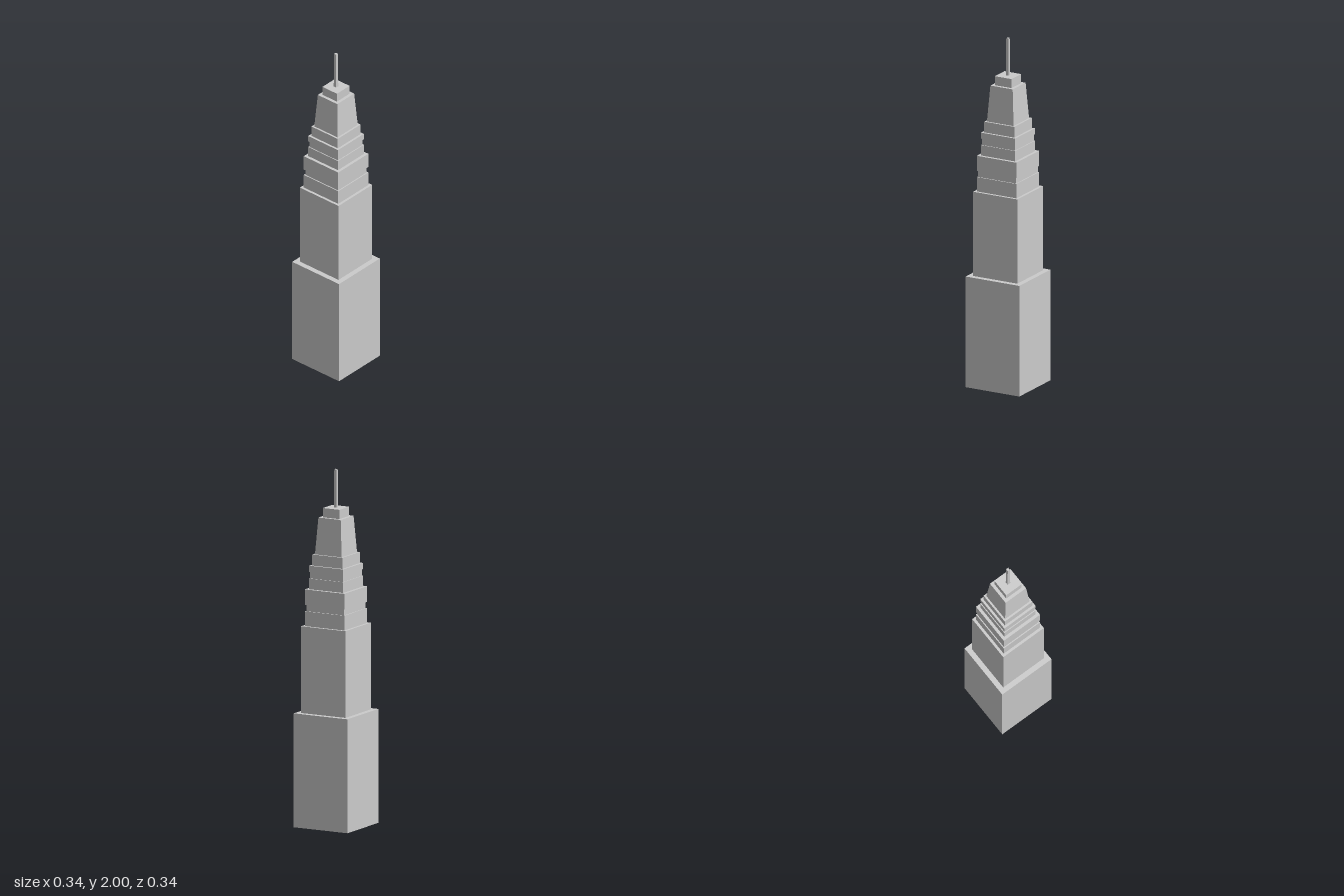
import * as THREE from 'three';

const material = new THREE.MeshStandardMaterial({ color: 0xcccccc, flatShading: true });

// Square block from y0 to y1, with half widths at the bottom and top
function block(name, y0, y1, bottom, top = bottom) {
  const geometry = new THREE.CylinderGeometry(top * Math.SQRT2, bottom * Math.SQRT2, y1 - y0, 4);
  geometry.rotateY(Math.PI / 4);
  geometry.translate(0, (y0 + y1) / 2, 0);
  const mesh = new THREE.Mesh(geometry, material);
  mesh.name = name;
  return mesh;
}

export function createModel() {
  const tower = new THREE.Group();
  tower.name = 'tower';

  // Stacked storeys: name, bottom, top, half width below, half width above
  const tiers = [
    ['base', 0, 0.64, 0.171],
    ['mainShaft', 0.64, 1.127, 0.141],
    // Third tier, split by a shallow recess
    ['lowerSetback', 1.127, 1.21, 0.126],
    ['lowerRecess', 1.21, 1.245, 0.12],
    ['upperSetback', 1.245, 1.333, 0.126],
    // Narrow tier with a recess beneath its ledge
    ['neck', 1.333, 1.393, 0.109],
    ['neckRecess', 1.393, 1.43, 0.104],
    ['ledge', 1.43, 1.465, 0.109],
    ['crownBase', 1.465, 1.527, 0.096],
    // Tapered crown, cap and spire
    ['crown', 1.527, 1.733, 0.085, 0.071],
    ['cap', 1.733, 1.785, 0.053],
    ['spire', 1.785, 2, 0.009, 0.007],
  ];
  for (const tier of tiers) tower.add(block(...tier));

  return tower;
}
